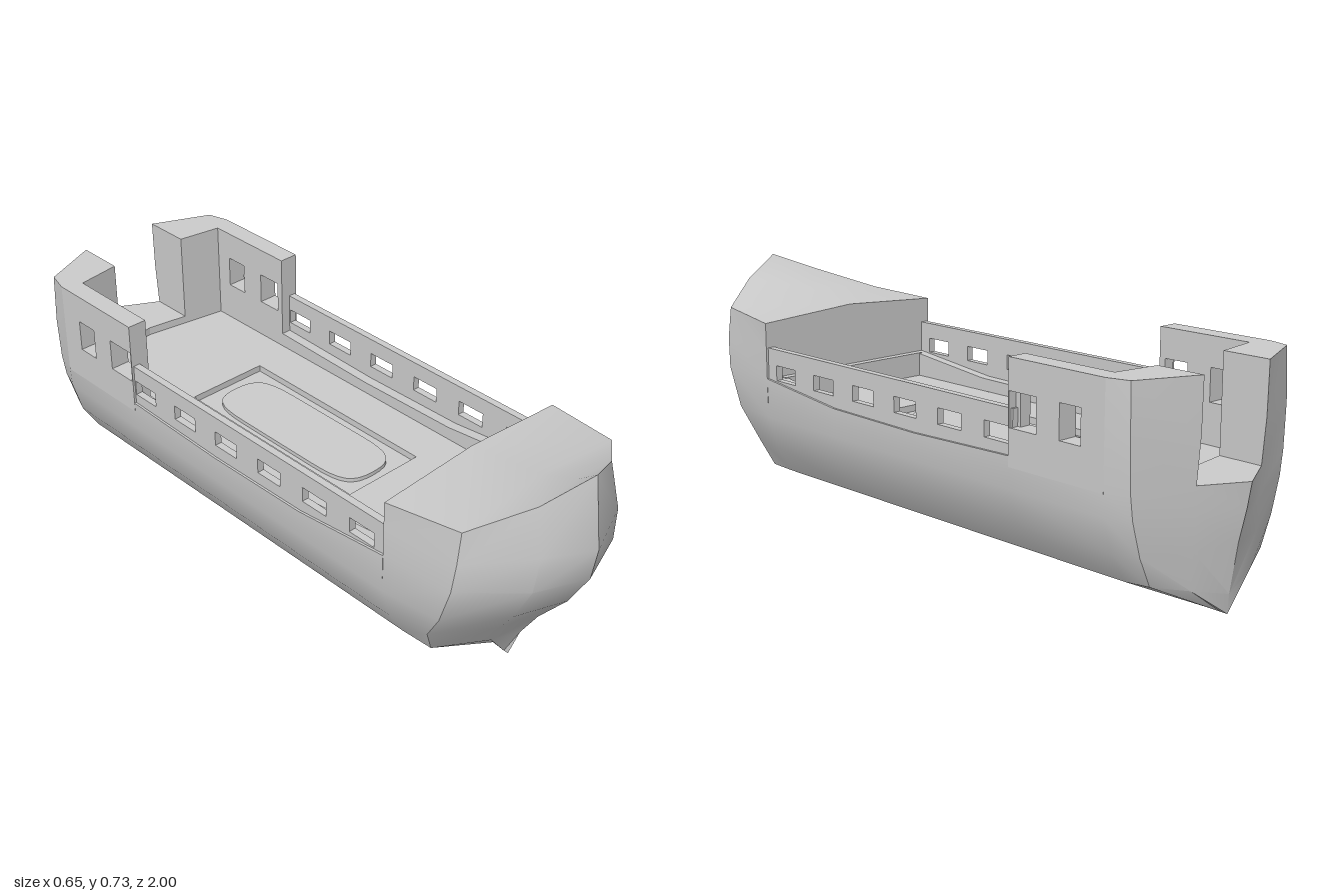
import * as THREE from 'three';
import { toCreasedNormals } from 'three/addons/utils/BufferGeometryUtils.js';

const DECK = 0.345, INNER = 0.265;
const MID_Z = [-0.8, -0.47, -0.1, 0.25, 0.57];

// One lengthwise line of the half hull: stern points, straight midship, bow points
const row = (x, y, stern, bow) => [
  ...stern,
  ...MID_Z.map((z, i) => [x, Array.isArray(y) ? y[i] : y, z]),
  ...bow,
];

// Collects quads on the +x half together with their mirror images
function halfMesh(name, material, crease, build) {
  const pos = [];
  const tri = (a, b, c) => {
    pos.push(...a, ...b, ...c);
    for (const p of [a, c, b]) pos.push(-p[0], p[1], p[2]);
  };
  build((a, b, c, d) => { tri(a, b, c); tri(a, c, d); });
  const g = new THREE.BufferGeometry();
  g.setAttribute('position', new THREE.Float32BufferAttribute(pos, 3));
  const mesh = new THREE.Mesh(toCreasedNormals(g, crease), material);
  mesh.name = name;
  return mesh;
}

function rectPath(u0, u1, v0, v1, Type = THREE.Path) {
  const p = new Type();
  p.moveTo(u0, v0).lineTo(u1, v0).lineTo(u1, v1).lineTo(u0, v1).closePath();
  return p;
}

export function createModel() {
  const model = new THREE.Group();
  model.name = 'ship';
  const mat = new THREE.MeshStandardMaterial({ color: 0xcccccc, side: THREE.DoubleSide });
  const add = (name, geo) => {
    const m = new THREE.Mesh(geo, mat);
    m.name = name;
    model.add(m);
    return m;
  };

  // Hull lines from keel to top edge
  const sheerY = [0.37, 0.39, 0.38, 0.385, 0.42];
  const rows = [
    row(0, 0.005, [[0, 0.005, -0.94], [0, 0.005, -0.92], [0, 0.005, -0.87]],
      [[0, 0.005, 0.69], [0, 0, 0.73], [0, 0, 0.745]]),
    row(0.24, 0.115, [[0, 0.06, -0.943], [0.12, 0.09, -0.915], [0.225, 0.115, -0.87]],
      [[0.235, 0.115, 0.67], [0.09, 0.11, 0.755], [0, 0.1, 0.78]]),
    row(0.293, 0.2, [[0, 0.2, -0.965], [0.13, 0.2, -0.925], [0.265, 0.2, -0.87]],
      [[0.275, 0.2, 0.69], [0.12, 0.2, 0.8], [0, 0.19, 0.835]]),
    row(0.322, 0.3, [[0, 0.3, -0.988], [0.13, 0.3, -0.93], [0.295, 0.3, -0.87]],
      [[0.3, 0.3, 0.75], [0.15, 0.3, 0.87], [0, 0.3, 0.925]]),
    row(0.325, sheerY, [[0, 0.37, -1], [0.13, 0.37, -0.93], [0.305, 0.37, -0.87]],
      [[0.307, 0.42, 0.79], [0.16, 0.42, 0.93], [0, 0.41, 0.985]]),
    row(0.325, 0.51, [[0, 0.5, -1], [0.13, 0.5, -0.94], [0.31, 0.5, -0.87]],
      [[0.302, 0.51, 0.8], [0.15, 0.53, 0.94], [0, 0.51, 1]]),
    row(0.325, [0.65, 0.65, 0.6, 0.6, 0.59], [[0, 0.65, -1], [0.13, 0.65, -0.942], [0.307, 0.65, -0.865]],
      [[0.29, 0.605, 0.8], [0.14, 0.667, 0.91], [0, 0.725, 0.97]]),
  ];
  const SHEER = 4, TOP = 6, BOW = 7;

  model.add(halfMesh('hull', mat, 0.5, (quad) => {
    for (let r = 0; r < TOP; r++) {
      for (let c = 0; c < 10; c++) {
        // above the sheer only the stern quarters and the bow are planked
        if (r >= SHEER && !(c === 1 || c === 2 || c >= BOW)) continue;
        quad(rows[r][c], rows[r + 1][c], rows[r + 1][c + 1], rows[r][c + 1]);
      }
    }
  }));

  // Cambered deck over the bow
  const ridge = [[0, 0.61, 0.57], [0, 0.637, 0.8], [0, 0.68, 0.91], [0, 0.725, 0.97]];
  model.add(halfMesh('bowDeck', mat, 0.5, (quad) => {
    for (let i = 0; i < 3; i++) {
      quad(ridge[i], ridge[i + 1], rows[TOP][BOW + i + 1], rows[TOP][BOW + i]);
    }
  }));

  // Bulkhead closing the bow
  model.add(halfMesh('bowBulkhead', mat, 0.3, (quad) => {
    quad([0, DECK, 0.57], [0, 0.61, 0.57], [0.325, 0.59, 0.57], [0.325, DECK, 0.57]);
  }));
  add('bowLedge', new THREE.BoxGeometry(0.55, 0.42 - DECK, 0.025))
    .position.set(0, (0.42 + DECK) / 2, 0.558);

  // Flat top of the hull sides and their inner faces down to the deck
  model.add(halfMesh('gunwale', mat, 0.3, (quad) => {
    for (let c = 3; c < BOW; c++) {
      const a = rows[SHEER][c], b = rows[SHEER][c + 1];
      const ai = [INNER, a[1], a[2]], bi = [INNER, b[1], b[2]];
      quad(ai, bi, b, a);
      quad([INNER, DECK, a[2]], [INNER, DECK, b[2]], bi, ai);
    }
  }));

  // Stern blocks either side of the gap, and the floor of the gap
  model.add(halfMesh('sternBlocks', mat, 0.3, (quad) => {
    const H = 0.65;
    const inCorner = (y) => [INNER, y, -0.775], inGap = (y) => [0.13, y, -0.795];
    const [q, k, s] = [1, 2, 3].map((c) => rows[TOP][c]);
    quad(inGap(H), inCorner(H), k, q);
    quad(inCorner(H), s, k, k);
    quad(inGap(DECK), inCorner(DECK), inCorner(H), inGap(H));
    for (let r = SHEER; r < TOP; r++) {
      quad(inGap(rows[r][1][1]), inGap(rows[r + 1][1][1]), rows[r + 1][1], rows[r][1]);
    }
    quad([0, 0.37, -0.815], inGap(0.37), rows[SHEER][1], rows[SHEER][0]);
    quad([0, DECK, -0.815], inGap(DECK), inGap(0.37), [0, 0.37, -0.815]);
  }));

  // Upright plates running along z, pierced by windows [z0, z1, y0, y1]
  const plate = (name, z0, z1, y0, y1, xIn, xOut, windows) => {
    const shape = rectPath(z0, z1, y0, y1, THREE.Shape);
    windows.forEach((w) => shape.holes.push(rectPath(...w)));
    for (const side of [1, -1]) {
      const g = new THREE.ExtrudeGeometry(shape, { depth: xOut - xIn, bevelEnabled: false });
      g.rotateY(-Math.PI / 2).translate(side > 0 ? xOut : -xIn, 0, 0);
      add((side > 0 ? 'left' : 'right') + name, g);
    }
  };
  const ports = [0, 1, 2, 3, 4, 5].map((i) => {
    const z = 0.485 - i * 0.181;
    return [z - 0.046, z + 0.046, 0.42, 0.466];
  });
  plate('Rail', -0.48, 0.57, 0.36, 0.515, 0.296, 0.318, ports);
  const aftWindow = [-0.722, -0.65, 0.465, 0.562];
  plate('SternWallInner', -0.8, -0.47, DECK, 0.65, INNER, 0.3, [aftWindow, [-0.57, -0.49, 0.465, 0.562]]);
  plate('SternWallOuter', -0.8, -0.47, 0.36, 0.65, 0.3, 0.325, [aftWindow, [-0.57, -0.473, 0.465, 0.562]]);

  // Main deck with a sunken hatch
  const deck = new THREE.Shape();
  deck.moveTo(-INNER, -0.57).lineTo(INNER, -0.57).lineTo(INNER, 0.775)
    .lineTo(0, 0.815).lineTo(-INNER, 0.775).closePath();
  deck.holes.push(rectPath(-0.132, 0.132, -0.25, 0.43));
  const lay = (shape, depth, top) => new THREE.ExtrudeGeometry(shape, { depth, bevelEnabled: false, curveSegments: 8 })
    .rotateX(-Math.PI / 2).translate(0, top - depth, 0);
  add('deck', lay(deck, 0.03, DECK));
  add('hatchFloor', lay(rectPath(-0.135, 0.135, -0.255, 0.435, THREE.Shape), 0.01, DECK - 0.02));

  // Rounded hatch cover
  const cover = new THREE.Shape();
  cover.moveTo(0, -0.21).bezierCurveTo(0.08, -0.21, 0.1, -0.18, 0.1, -0.06)
    .lineTo(0.1, 0.24).bezierCurveTo(0.1, 0.36, 0.08, 0.39, 0, 0.39)
    .bezierCurveTo(-0.08, 0.39, -0.1, 0.36, -0.1, 0.24)
    .lineTo(-0.1, -0.06).bezierCurveTo(-0.1, -0.18, -0.08, -0.21, 0, -0.21);
  add('hatchCover', lay(cover, 0.015, DECK - 0.008));

  return model;
}
